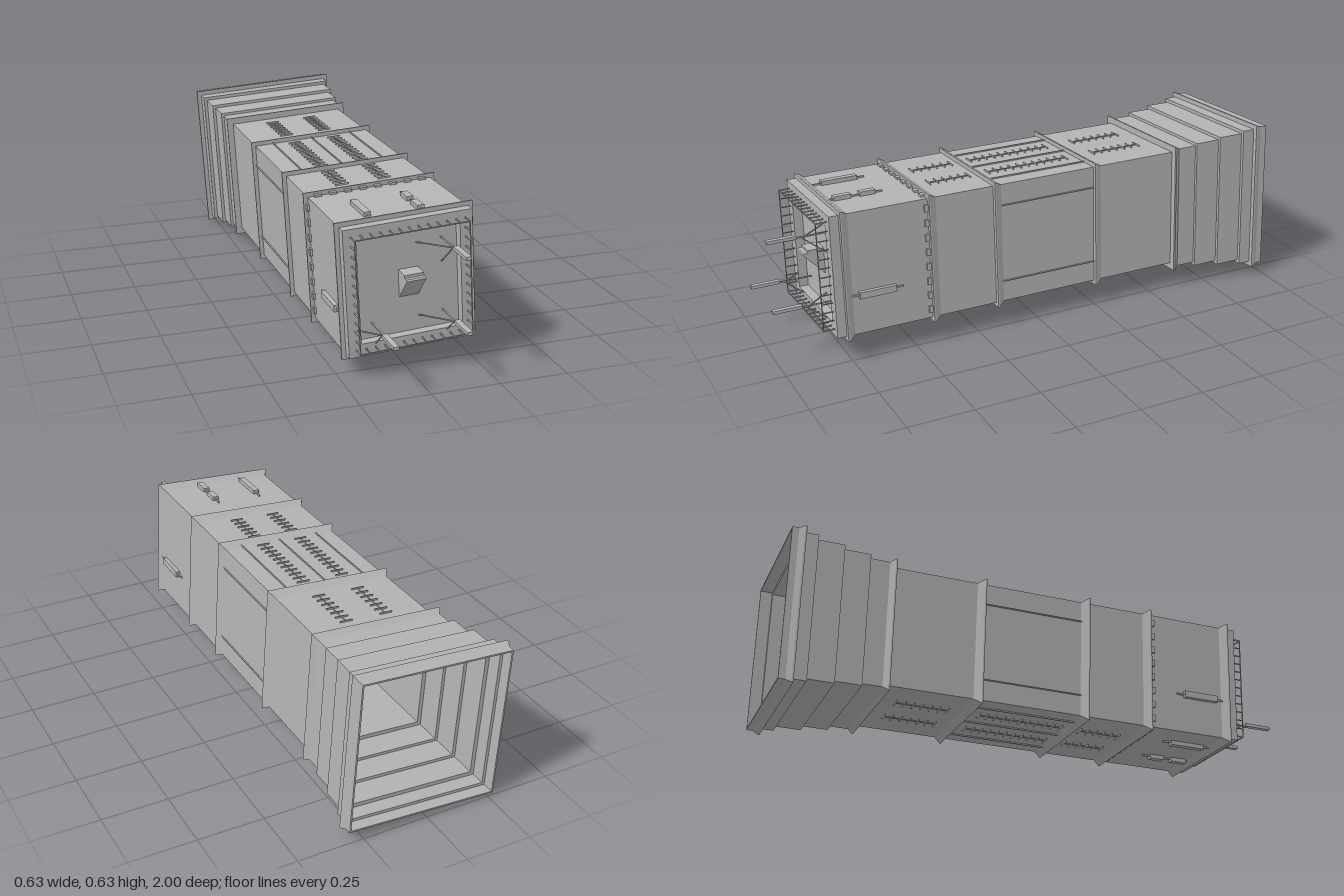
import * as THREE from 'three';

export function createModel() {
  const model = new THREE.Group();
  const grey = new THREE.MeshStandardMaterial({ color: 0xb3b3b3, flatShading: true });
  grey.name = 'plain grey';

  // Everything is built around the tube axis (z), then rolled slightly.
  const tube = new THREE.Group();
  tube.name = 'squareTube';
  tube.rotation.z = THREE.MathUtils.degToRad(3.4);
  tube.position.y = 0.315;
  model.add(tube);

  const add = (parent, name, geometry, x = 0, y = 0, z = 0) => {
    const mesh = new THREE.Mesh(geometry, grey);
    mesh.name = name;
    mesh.position.set(x, y, z);
    parent.add(mesh);
    return mesh;
  };
  const box = (parent, name, w, h, d, x, y, z) =>
    add(parent, name, new THREE.BoxGeometry(w, h, d), x, y, z);
  const rod = (parent, name, a, b, t) => {
    const from = new THREE.Vector3(...a), to = new THREE.Vector3(...b);
    const mesh = box(parent, name, t, t, from.distanceTo(to), 0, 0, 0);
    mesh.position.copy(from).add(to).multiplyScalar(0.5);
    mesh.quaternion.setFromUnitVectors(new THREE.Vector3(0, 0, 1), to.sub(from).normalize());
    return mesh;
  };
  // Groups for the four faces; local +y is that face's outward direction.
  const faces = ['top', 'right', 'bottom', 'left'].map((name, i) => {
    const g = new THREE.Group();
    g.name = name + 'Face';
    g.rotation.z = i * Math.PI / 2;
    tube.add(g);
    return g;
  });

  // Shell: square profile of [half width, z], outside then inside.
  const H = 0.231;
  const flange = z => [[H, z - 0.022], [0.247, z + 0.004], [0.247, z + 0.01], [H, z + 0.01]];
  const profile = [
    [0.289, -1], [0.289, -0.975], [0.298, -0.955], [0.298, -0.948], [0.28, -0.948],
    [0.28, -0.9], [0.267, -0.9], [0.267, -0.8], [0.255, -0.8], [0.255, -0.7],
    [0.244, -0.7], [0.244, -0.625], [0.256, -0.606], [0.256, -0.6], [H, -0.6],
    ...flange(-0.26), ...flange(0.16), ...flange(0.42), ...flange(0.755),
    [H, 0.8], [0.185, 0.8], [0.185, 0.765], [0, 0.765],
    [0, 0.755], [0.219, 0.755], [0.219, -0.6], [0.234, -0.6], [0.234, -0.7],
    [0.245, -0.7], [0.245, -0.8], [0.257, -0.8], [0.257, -0.9], [0.272, -0.9],
    [0.272, -0.955], [0.283, -0.955], [0.283, -1], [0.289, -1],
  ].map(([h, z]) => new THREE.Vector2(h * Math.SQRT2, z));
  const shell = new THREE.LatheGeometry(profile, 4, Math.PI / 4);
  shell.rotateX(Math.PI / 2);
  add(tube, 'shell', shell);

  // Teeth in front of one flange, and the thin frame on standoffs at the front.
  faces.forEach(face => {
    for (let i = 0; i < 8; i++)
      box(face, 'flangeTooth', 0.026, 0.01, 0.016, -0.196 + i * 0.056, H + 0.003, 0.437);
    box(face, 'frontFrame', 0.41, 0.004, 0.003, 0, 0.204, 0.841);
    for (let i = 0; i < 13; i++)
      box(face, 'frameStandoff', 0.003, 0.005, 0.042, -0.204 + i * 0.034, 0.204, 0.82);
  });

  // Handles: a thin rail carrying one or two boxes.
  const handle = (face, x, pads) => {
    box(face, 'handleRail', 0.006, 0.006, 0.2, x, H + 0.004, 0.64);
    pads.forEach(([z, d]) => box(face, 'handleBox', 0.025, 0.018, d, x, H + 0.007, z));
  };
  const single = [[0.64, 0.14]], double = [[0.6, 0.06], [0.695, 0.065]];
  handle(faces[0], -0.11, single);
  handle(faces[0], 0.075, double);
  handle(faces[2], -0.075, double);
  handle(faces[2], 0.11, single);
  handle(faces[1], -0.08, single);
  handle(faces[3], 0.08, single);

  // Top and bottom: rows of small cross fins on a spine, plus long ribs.
  const sections = [[0.2, 0.36, 6], [-0.21, 0.12, 11], [-0.53, -0.33, 7]];
  [faces[0], faces[2]].forEach(face => {
    for (const x of [-0.08, 0.08]) {
      for (const [z0, z1, n] of sections) {
        box(face, 'finSpine', 0.002, 0.004, z1 - z0, x, H + 0.002, (z0 + z1) / 2);
        for (let i = 0; i < n; i++)
          box(face, 'crossFin', 0.05, 0.007, 0.002, x, H + 0.003, z0 + (z1 - z0) * i / (n - 1));
      }
    }
    for (const x of [-0.16, 0, 0.16])
      box(face, 'longRib', 0.004, 0.006, 0.4, x, H + 0.002, -0.05);
  });
  [faces[1], faces[3]].forEach(face => {
    for (const x of [-0.15, 0.15])
      box(face, 'longRib', 0.004, 0.006, 0.4, x, H + 0.002, -0.05);
  });

  // Three forward probes, each with a post and two braces.
  for (const [x, y] of [[0.128, 0.133], [-0.134, -0.133], [0.126, -0.133]]) {
    box(tube, 'probeTip', 0.02, 0.012, 0.11, x, y + 0.008, 0.945);
    box(tube, 'probePost', 0.005, 0.005, 0.13, x, y + 0.004, 0.83);
    rod(tube, 'probeBrace', [x, y, 0.87], [x, y - 0.085, 0.765], 0.004);
    rod(tube, 'probeBrace', [x, y, 0.87], [x - 0.09, y, 0.765], 0.004);
  }

  // Central sensor: a wedge with its face slanting downward, and a small hood.
  const side = new THREE.Shape([
    new THREE.Vector2(-0.765, -0.055), new THREE.Vector2(-0.765, 0.035),
    new THREE.Vector2(-0.84, 0.035), new THREE.Vector2(-0.845, 0.03),
  ]);
  const wedge = new THREE.ExtrudeGeometry(side, { depth: 0.07, bevelEnabled: false });
  wedge.rotateY(Math.PI / 2);
  add(tube, 'sensorWedge', wedge, -0.03, 0, 0);
  box(tube, 'sensorHood', 0.07, 0.01, 0.06, 0.005, 0.04, 0.795);

  return model;
}
